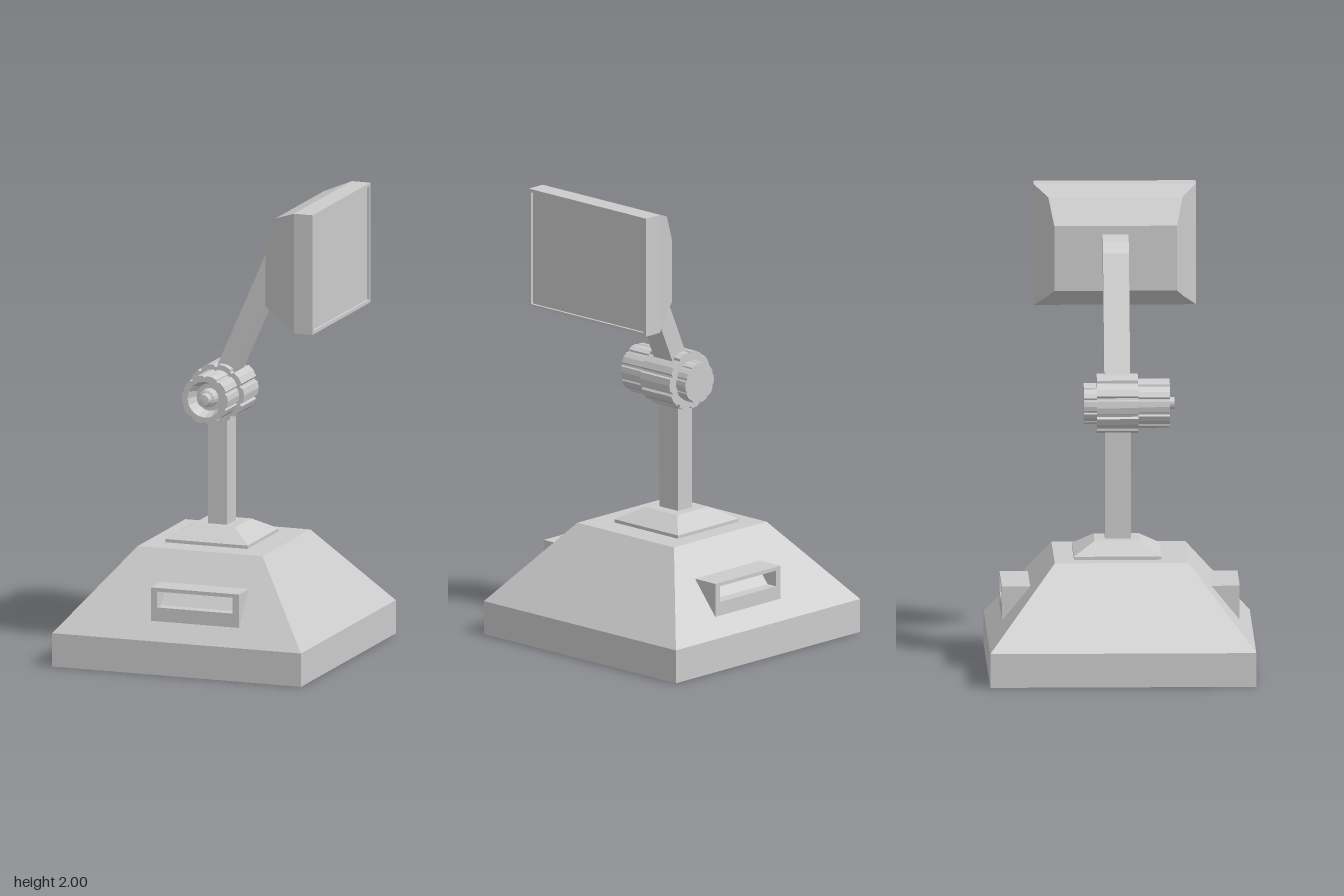
import * as THREE from 'three';

const material = new THREE.MeshStandardMaterial({ color: 0xcccccc, flatShading: true });

function add(parent, name, geometry, x = 0, y = 0, z = 0) {
  const mesh = new THREE.Mesh(geometry, material);
  mesh.name = name;
  mesh.position.set(x, y, z);
  parent.add(mesh);
  return mesh;
}

// Closed skin over four-cornered rings, capped at both ends
function loft(rings) {
  const pos = [];
  const quad = (a, b, c, d) => pos.push(...a, ...b, ...c, ...a, ...c, ...d);
  for (let r = 0; r < rings.length - 1; r++) {
    for (let i = 0; i < 4; i++) {
      const j = (i + 1) % 4;
      quad(rings[r][i], rings[r][j], rings[r + 1][j], rings[r + 1][i]);
    }
  }
  quad(...[...rings[0]].reverse());
  quad(...rings[rings.length - 1]);
  const g = new THREE.BufferGeometry();
  g.setAttribute('position', new THREE.Float32BufferAttribute(pos, 3));
  g.computeVertexNormals();
  return g;
}

// Horizontal square ring, and upright ring facing +x
const level = (y, h) => [[-h, y, -h], [-h, y, h], [h, y, h], [h, y, -h]];
const upright = (x, y0, y1, h) => [[x, y0, -h], [x, y1, -h], [x, y1, h], [x, y0, h]];

// Knob outline with shallow grooves between flat lobes
function knobShape(radius, lobes, groove) {
  const points = [];
  for (let i = 0; i < lobes; i++) {
    for (const [t, k] of [[-0.36, 1], [0, 1.015], [0.36, 1], [0.44, groove], [0.56, groove]]) {
      const a = ((i + t) / lobes) * Math.PI * 2;
      points.push(new THREE.Vector2(Math.cos(a) * radius * k, Math.sin(a) * radius * k));
    }
  }
  return new THREE.Shape(points);
}

const extrude = (shape, depth) =>
  new THREE.ExtrudeGeometry(shape, { depth, bevelEnabled: false, curveSegments: 8 });

function rectangle(target, x0, y0, x1, y1) {
  target.moveTo(x0, y0);
  target.lineTo(x1, y0);
  target.lineTo(x1, y1);
  target.lineTo(x0, y1);
  target.closePath();
  return target;
}

export function createModel() {
  const model = new THREE.Group();
  model.name = 'monitorStand';

  // Sloped pedestal and its collar
  add(model, 'base', loft([level(0, 0.565), level(0.145, 0.565), level(0.488, 0.284)]));
  add(model, 'collar', loft([level(0.48, 0.186), level(0.502, 0.186), level(0.556, 0.096)]), -0.014, 0, -0.014);

  // Hooded slots on the front and back slopes
  const slot = rectangle(new THREE.Shape(), -0.2, 0.22, 0.2, 0.365);
  slot.holes.push(rectangle(new THREE.Path(), -0.172, 0.28, 0.172, 0.349));
  const slotGeometry = extrude(slot, 0.13);
  add(model, 'frontSlot', slotGeometry, 0.06, 0, 0.375);
  add(model, 'backSlot', slotGeometry, 0.06, 0, -0.505);

  // Upright post
  add(model, 'post', new THREE.BoxGeometry(0.085, 0.56, 0.11), -0.012, 0.82, -0.01);

  // Hinge: stacked knobs along z, the front one hollow
  const hinge = new THREE.Group();
  hinge.name = 'hinge';
  hinge.position.set(-0.008, 1.13, 0);
  model.add(hinge);
  add(hinge, 'hingeBarrel', extrude(knobShape(0.126, 10, 0.92), 0.175), 0, 0, -0.1);
  add(hinge, 'backCap', extrude(knobShape(0.087, 10, 0.95), 0.06), 0, 0, -0.155);
  const cup = knobShape(0.104, 10, 0.94);
  cup.holes.push(new THREE.Path().absarc(0, 0, 0.078, 0, Math.PI * 2, true));
  add(hinge, 'frontKnob', extrude(cup, 0.14), 0, 0, 0.07);
  // Tapered recess with the pin standing in it
  const recess = [[0.079, 0.21], [0.06, 0.15], [0.04, 0.15], [0.037, 0.19], [0.026, 0.195], [0.026, 0.23], [0, 0.232]];
  const pin = new THREE.LatheGeometry(recess.map(([r, h]) => new THREE.Vector2(r, -h)).reverse(), 16);
  pin.rotateX(-Math.PI / 2);
  const pinMesh = add(hinge, 'hingePin', pin);
  pinMesh.material = material.clone();
  pinMesh.material.side = THREE.DoubleSide;

  // Slanted arm with a rounded elbow meeting the display
  const arm = new THREE.Shape();
  arm.moveTo(-0.05, 1.165);
  arm.lineTo(0.03, 1.14);
  arm.lineTo(0.285, 1.715);
  arm.lineTo(0.295, 1.715);
  arm.lineTo(0.295, 1.81);
  arm.lineTo(0.268, 1.805);
  arm.lineTo(0.232, 1.783);
  arm.lineTo(0.203, 1.74);
  arm.closePath();
  add(model, 'arm', extrude(arm, 0.11), 0, 0, -0.067);

  // Display: stepped back shell, thin bezel, recessed panel
  add(model, 'display', loft([
    upright(0.285, 1.566, 1.845, 0.261),
    upright(0.34, 1.536, 1.96, 0.285),
    upright(0.445, 1.48, 2.0, 0.345),
    upright(0.53, 1.48, 2.0, 0.345),
    upright(0.53, 1.494, 1.986, 0.331),
    upright(0.519, 1.494, 1.986, 0.331),
  ]), 0, 0, -0.011);

  return model;
}
